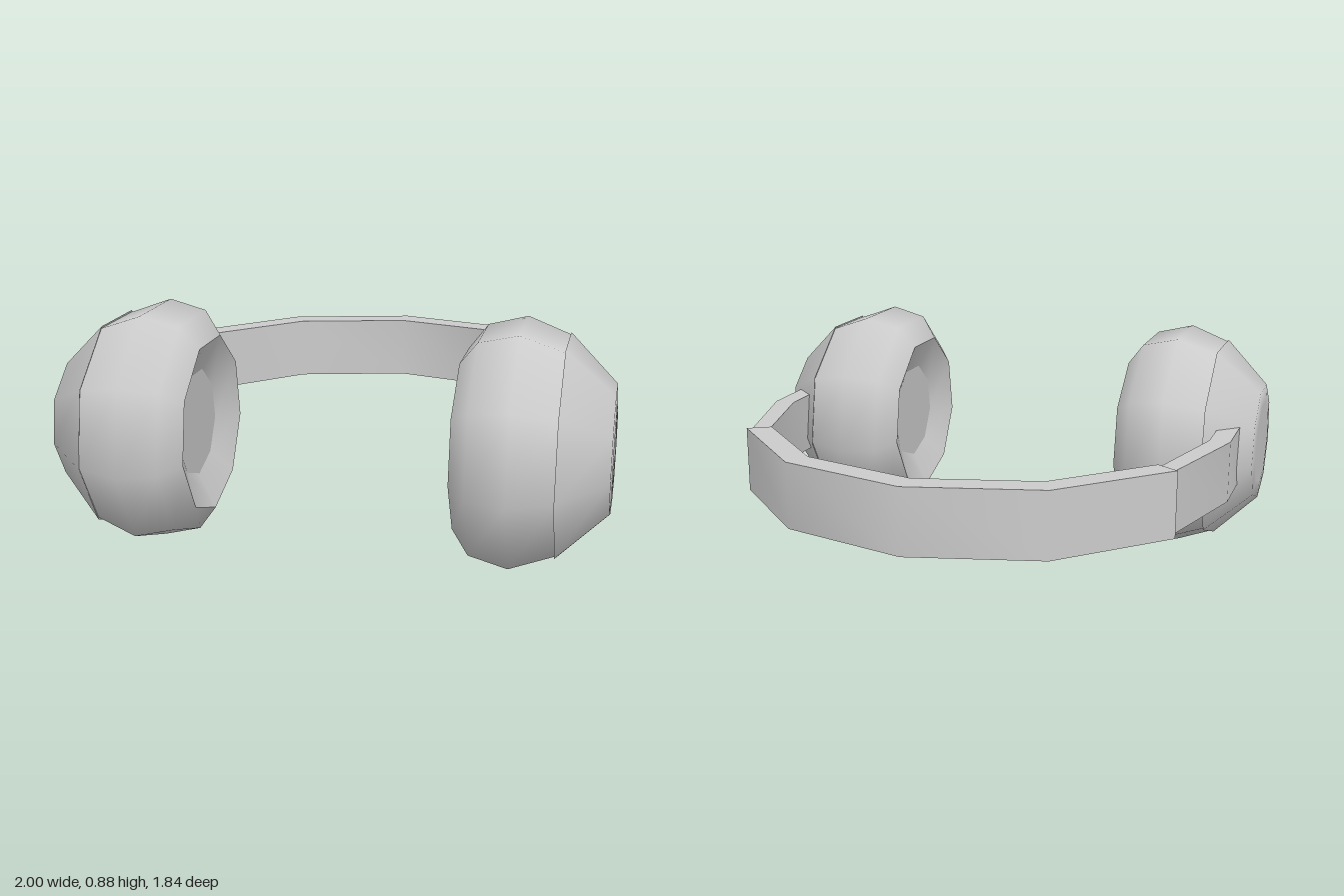
import * as THREE from 'three';
import { toCreasedNormals } from 'three/addons/utils/BufferGeometryUtils.js';

const SIDES = 9;
const CUP_Y = 0.456, CUP_Z = 0.47;
const material = new THREE.MeshStandardMaterial({ color: 0xcccccc });

// Lathe profiles as [radius, distance from the centre plane], each smooth in itself
const cupProfiles = {
  innerPad: [[0, 0.525], [0.2, 0.525]],
  innerDish: [[0.2, 0.525], [0.33, 0.465]],
  cushion: [[0.33, 0.465], [0.42, 0.53], [0.456, 0.67], [0.397, 0.825]],
  shellRim: [[0.397, 0.825], [0.406, 0.822]],
  shell: [[0.406, 0.822], [0.234, 0.994], [0.172, 0.998]],
  outerDisc: [[0.172, 0.998], [0, 1]],
};

// Nine-sided ear cup around the x axis, one corner pointing down
function createCup(side) {
  const cup = new THREE.Group();
  cup.name = side > 0 ? 'leftEarCup' : 'rightEarCup';
  for (const [name, profile] of Object.entries(cupProfiles)) {
    const points = profile.map(([r, d]) => new THREE.Vector2(r, d));
    const geometry = new THREE.LatheGeometry(points, SIDES, side * Math.PI / 2, Math.PI * 2);
    geometry.rotateZ(-side * Math.PI / 2);
    const mesh = new THREE.Mesh(geometry, material);
    mesh.name = name;
    cup.add(mesh);
  }
  cup.position.set(0, CUP_Y, CUP_Z);
  return cup;
}

// Flat bar with an outline in the x-z plane, raised from bottom to top
function createBar(name, outline, bottom, top) {
  const shape = new THREE.Shape(outline.map(([x, z]) => new THREE.Vector2(x, z)));
  const extruded = new THREE.ExtrudeGeometry(shape, { depth: top - bottom, bevelEnabled: false });
  extruded.rotateX(Math.PI / 2).translate(0, top, 0);
  const mesh = new THREE.Mesh(toCreasedNormals(extruded, 0.65), material);
  mesh.name = name;
  return mesh;
}

// Completes a half outline running from the middle to the +x end
const mirrored = (half) => [...half.slice(1).reverse().map(([x, z]) => [-x, z]), ...half];

export function createModel() {
  const model = new THREE.Group();
  model.name = 'headphones';

  // Headband: outer edge and inner edge, four straight runs
  const outer = mirrored([[0, -0.92], [0.483, -0.793], [0.835, -0.44]]);
  const inner = mirrored([[0, -0.82], [0.44, -0.705], [0.755, -0.39]]);
  model.add(createBar('headband', [...outer, ...inner.reverse()], 0.335, 0.583));

  // Slightly slimmer arms running from the headband into the cups
  const arm = [[0.82, -0.433], [0.943, 0], [0.943, 0.3], [0.865, 0.3], [0.865, 0], [0.758, -0.405]];
  for (const side of [1, -1]) {
    const outline = arm.map(([x, z]) => [side * x, z]);
    model.add(createBar(side > 0 ? 'leftArm' : 'rightArm', outline, 0.343, 0.576));
    model.add(createCup(side));
  }
  return model;
}
